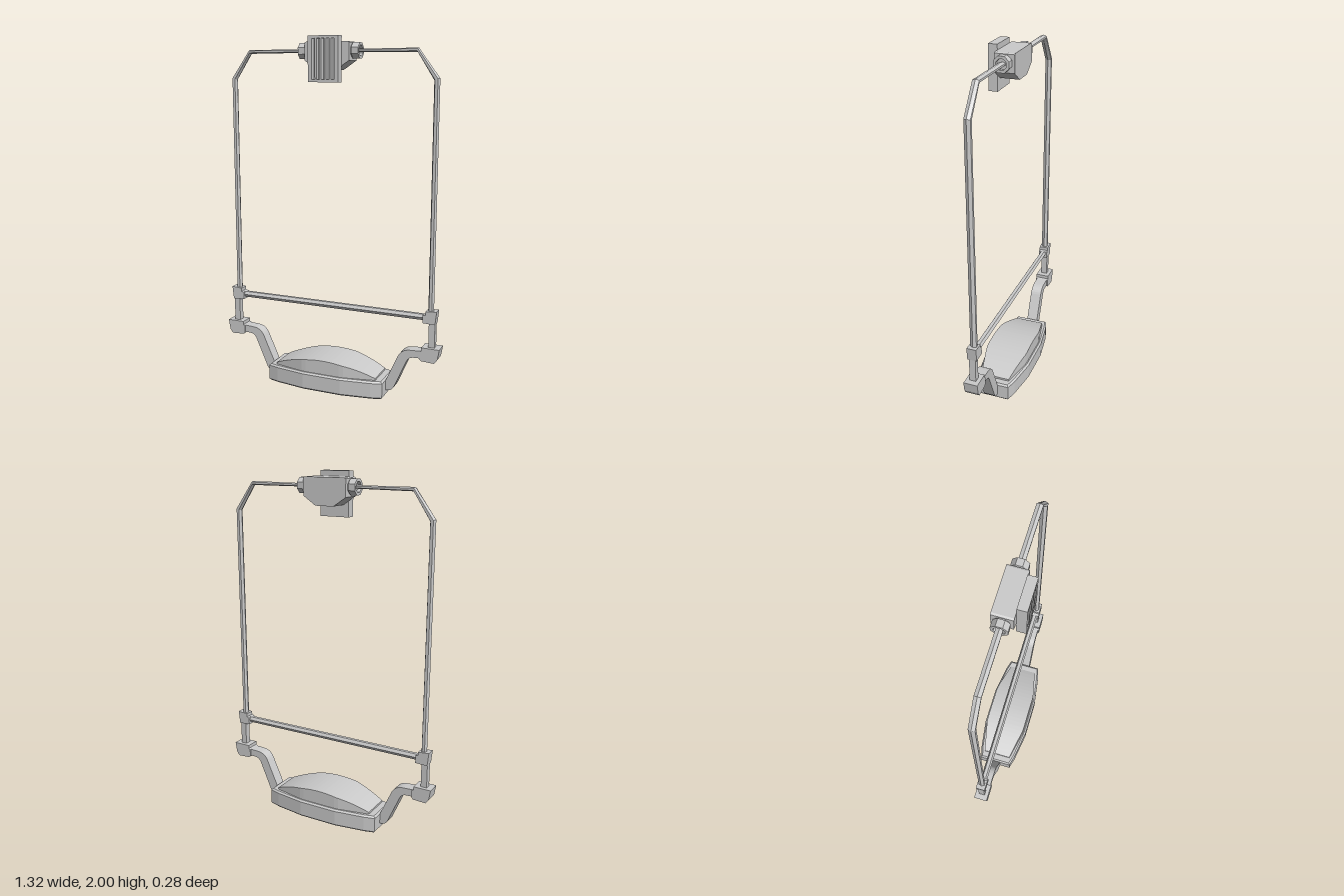
import * as THREE from 'three';

const material = new THREE.MeshStandardMaterial({ color: 0xcccccc, flatShading: true });

function add(parent, name, geometry, x = 0, y = 0, z = 0) {
  const mesh = new THREE.Mesh(geometry, material);
  mesh.name = name;
  mesh.position.set(x, y, z);
  parent.add(mesh);
  return mesh;
}

// Skins a list of equal-length rings of [x, y, z] points and caps both ends.
function loft(rings) {
  const n = rings[0].length, index = [];
  for (let i = 0; i < rings.length - 1; i++) {
    for (let j = 0; j < n; j++) {
      const a = i * n + j, b = i * n + (j + 1) % n;
      index.push(a, b, b + n, a, b + n, a + n);
    }
  }
  const last = (rings.length - 1) * n;
  for (let j = 1; j < n - 1; j++) {
    index.push(0, j + 1, j, last, last + j, last + j + 1);
  }
  const geometry = new THREE.BufferGeometry();
  geometry.setAttribute('position', new THREE.Float32BufferAttribute(rings.flat(2), 3));
  geometry.setIndex(index);
  geometry.computeVertexNormals();
  return geometry;
}

// Extrudes a front outline, centred on z = 0.
function slab(shape, depth) {
  const geometry = new THREE.ExtrudeGeometry(shape, { depth, bevelEnabled: false, curveSegments: 6 });
  return geometry.translate(0, 0, -depth / 2);
}

function outline(points) {
  return new THREE.Shape(points.map(([x, y]) => new THREE.Vector2(x, y)));
}

// Six-sided wire frame: x, y, outward direction and in-plane half thickness.
function frameGeometry() {
  const half = [
    [-0.6, 0.47, -1, 0, 0.016],
    [-0.6, 1.772, -1, 0.3, 0.016],
    [-0.495, 1.922, -0.3, 1, 0.011],
    [-0.15, 1.922, 0, 1, 0.009],
  ];
  const path = [...half, ...half.map(([x, ...rest]) => [-x, rest[0], -rest[1], rest[2], rest[3]]).reverse()];
  return loft(path.map(([x, y, nx, ny, w]) => Array.from({ length: 6 }, (_, j) => {
    const a = j * Math.PI / 3, r = w * Math.cos(a);
    return [x + nx * r, y + ny * r, 0.02 * Math.sin(a)];
  })));
}

// Domed pad that narrows towards its ends.
function padGeometry() {
  const rings = [];
  for (let i = 0; i <= 24; i++) {
    const x = -0.31 + 0.62 * i / 24;
    const w = 0.125 - 0.04 * Math.max(0, (Math.abs(x) - 0.12) / 0.19);
    const top = 0.115 + 0.07 * (1 - (x / 0.31) ** 2);
    rings.push([[x, top, -w], [x, top, w], [x, 0.08, w], [x, 0.08, -w]]);
  }
  return loft(rings);
}

// Foot plan with slightly bevelled edges.
function baseGeometry() {
  const quarter = [[0.345, 0.09], [0.29, 0.105], [0.115, 0.131]];
  const mirrored = quarter.map(([x, z]) => [-x, z]).reverse();
  const upper = [...quarter, ...mirrored];
  const shape = outline([...upper, ...upper.map(([x, z]) => [-x, -z])]);
  const geometry = new THREE.ExtrudeGeometry(shape, {
    depth: 0.084, bevelThickness: 0.01, bevelSize: 0.01, bevelSegments: 1,
  });
  return geometry.rotateX(-Math.PI / 2).translate(0, 0.01, 0);
}

// Bent arm, lower block, post and clamp for the +x side.
function sideSupport() {
  const side = new THREE.Group();
  const arm = new THREE.Shape();
  arm.moveTo(0.34, 0.035);
  arm.lineTo(0.37, 0.035);
  arm.quadraticCurveTo(0.395, 0.04, 0.405, 0.065);
  arm.lineTo(0.475, 0.225);
  arm.quadraticCurveTo(0.488, 0.253, 0.52, 0.253);
  arm.lineTo(0.58, 0.255);
  arm.lineTo(0.58, 0.298);
  arm.lineTo(0.49, 0.293);
  arm.quadraticCurveTo(0.445, 0.29, 0.425, 0.25);
  arm.lineTo(0.355, 0.095);
  arm.lineTo(0.34, 0.095);
  add(side, 'arm', slab(arm, 0.066));

  add(side, 'lowerBlock', slab(outline([
    [0.56, 0.242], [0.635, 0.238], [0.652, 0.262], [0.662, 0.32], [0.56, 0.32],
    [0.56, 0.3], [0.55, 0.295], [0.55, 0.25],
  ]), 0.08));
  add(side, 'post', new THREE.BoxGeometry(0.035, 0.16, 0.036), 0.611, 0.39, 0);
  add(side, 'clamp', slab(outline([
    [0.56, 0.458], [0.63, 0.455], [0.638, 0.53], [0.575, 0.525], [0.575, 0.505], [0.56, 0.5],
  ]), 0.054));

  // Hollow eight-sided collar where the frame enters the top housing.
  const profile = [[0.038, 0], [0.038, 0.012], [0.046, 0.015], [0.046, 0.055], [0.03, 0.055], [0.03, 0.035], [0, 0.035]];
  const collar = new THREE.LatheGeometry(profile.map(([r, y]) => new THREE.Vector2(r, y)), 8, Math.PI / 8);
  add(side, 'collar', collar.rotateZ(-Math.PI / 2), 0.122, 1.922, 0);
  return side;
}

// Front plate with five vertical slots.
function grilleGeometry() {
  const shape = outline([[-0.088, 1.755], [0.088, 1.755], [0.088, 2], [-0.088, 2]]);
  for (let i = -2; i <= 2; i++) {
    const x = i * 0.028, w = 0.009;
    shape.holes.push(new THREE.Path([
      [x - w, 1.77], [x - w, 1.985], [x + w, 1.985], [x + w, 1.77],
    ].map(([px, py]) => new THREE.Vector2(px, py))));
  }
  return slab(shape, 0.03);
}

export function createModel() {
  const model = new THREE.Group();
  model.name = 'wireStand';

  add(model, 'base', baseGeometry());
  add(model, 'pad', padGeometry());
  add(model, 'frame', frameGeometry());

  const crossbar = new THREE.CylinderGeometry(0.019, 0.019, 1.16, 6).rotateZ(Math.PI / 2);
  add(model, 'crossbar', crossbar, 0, 0.486, 0);

  const left = sideSupport();
  left.name = 'leftSupport';
  const right = sideSupport();
  right.name = 'rightSupport';
  right.rotation.y = Math.PI;
  model.add(left, right);

  // Top housing with chamfered lower corners.
  add(model, 'housing', slab(outline([
    [-0.055, 1.82], [0.055, 1.82], [0.13, 1.87], [0.13, 1.965],
    [0.12, 1.97], [-0.12, 1.97], [-0.13, 1.965], [-0.13, 1.87],
  ]), 0.11));
  add(model, 'grilleBack', new THREE.BoxGeometry(0.176, 0.245, 0.022), 0, 1.8775, 0.065);
  add(model, 'grille', grilleGeometry(), 0, 0, 0.09);
  return model;
}
